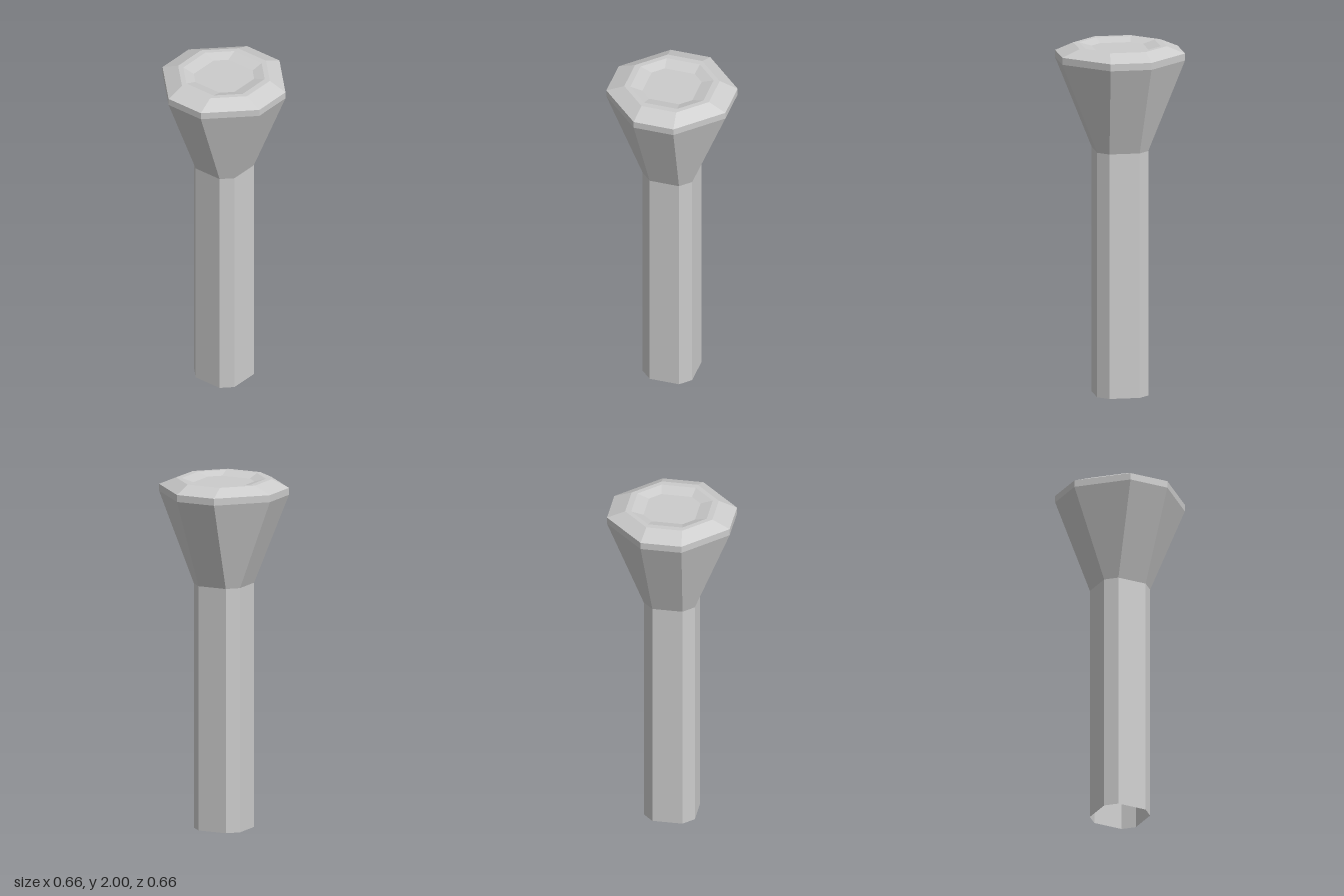
import * as THREE from 'three';

const material = new THREE.MeshStandardMaterial({ color: 0xcccccc, flatShading: true, side: THREE.DoubleSide });

// Octagon with chamfered corners: half width a, half length b of the straight side
const ring = ([a, b, y]) =>
  [[a, b], [b, a], [-b, a], [-a, b], [-a, -b], [-b, -a], [b, -a], [a, -b]]
    .map(([x, z]) => [x, y, z]);

// Flat-faced skin through a stack of rings, optionally closed at the last ring
function loft(name, sections, closed = false) {
  const rings = sections.map(ring);
  const pos = [];
  for (let r = 0; r < rings.length - 1; r++) {
    for (let i = 0; i < 8; i++) {
      const j = (i + 1) % 8;
      const lo = rings[r], hi = rings[r + 1];
      pos.push(...lo[i], ...hi[i], ...lo[j], ...lo[j], ...hi[i], ...hi[j]);
    }
  }
  if (closed) {
    const top = rings[rings.length - 1];
    for (let i = 0; i < 8; i++) pos.push(0, top[0][1], 0, ...top[(i + 1) % 8], ...top[i]);
  }
  const geometry = new THREE.BufferGeometry();
  geometry.setAttribute('position', new THREE.Float32BufferAttribute(pos, 3));
  geometry.computeVertexNormals();
  const mesh = new THREE.Mesh(geometry, material);
  mesh.name = name;
  return mesh;
}

export function createModel() {
  const model = new THREE.Group();
  model.name = 'column';

  // Hollow shaft, open at the bottom
  model.add(loft('shaft', [[0.164, 0.042, 0], [0.164, 0.042, 1.4]]));

  // Flared capital and its narrow upright collar
  model.add(loft('capital', [[0.164, 0.042, 1.4], [0.33, 0.165, 1.917]]));
  model.add(loft('collar', [[0.33, 0.165, 1.917], [0.33, 0.165, 1.957]]));

  // Bevelled top with a flat rim and a shallow recess
  model.add(loft('top', [
    [0.33, 0.165, 1.957],
    [0.248, 0.104, 2],
    [0.221, 0.083, 2],
    [0.166, 0.042, 1.98],
  ], true));

  return model;
}
